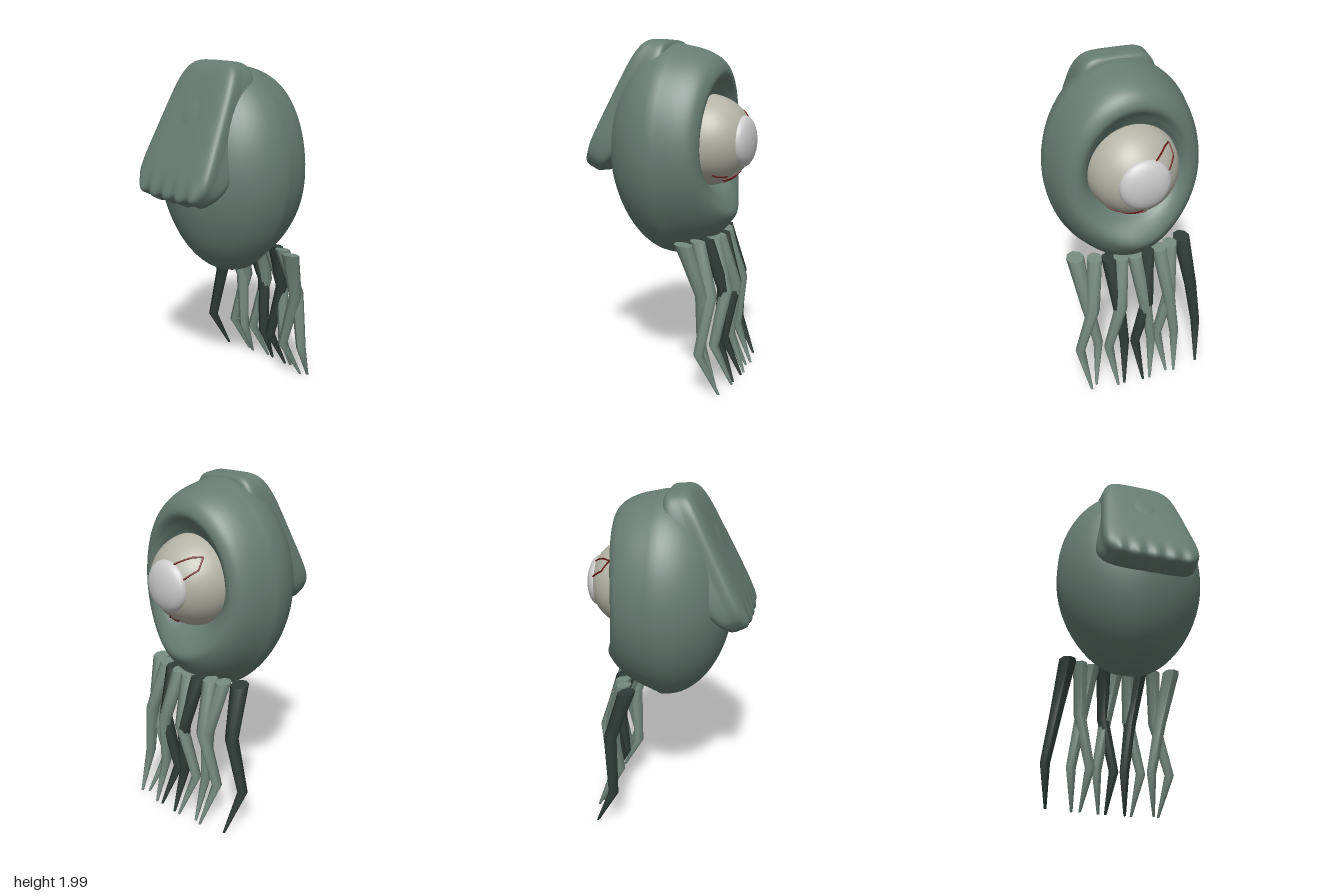
import * as THREE from 'three';

const V = (x, y, z) => new THREE.Vector3(x, y, z);
const mat = (color) => new THREE.MeshStandardMaterial({ color });
const skin = mat(0x667c73), legSkin = mat(0x758a80), darkSkin = mat(0x2f3c38);
const eyeWhite = mat(0xb4b3a6), corneaMat = mat(0xd4d4d6), veinMat = mat(0x6e1414);

function add(group, name, geometry, material) {
  const mesh = new THREE.Mesh(geometry, material);
  mesh.name = name;
  group.add(mesh);
  return mesh;
}

// Skin a stack of closed loops; ring(i) returns `cols` points
function skinLoops(rows, cols, ring) {
  const pos = [], idx = [];
  for (let i = 0; i <= rows; i++) for (const p of ring(i)) pos.push(p.x, p.y, p.z);
  for (let i = 0; i < rows; i++) for (let j = 0; j < cols; j++) {
    const a = i * cols + j, b = i * cols + (j + 1) % cols, c = a + cols, d = b + cols;
    idx.push(a, c, b, b, c, d);
  }
  const g = new THREE.BufferGeometry();
  g.setAttribute('position', new THREE.Float32BufferAttribute(pos, 3));
  g.setIndex(idx);
  g.computeVertexNormals();
  return g;
}

// Evenly spaced point on a square with rounded corners, t from 0 to 1
function squircle(t, power) {
  const u = (t * 4 + 0.5) % 4, side = Math.floor(u), v = (u - side) * 2 - 1;
  const [x, y] = [[1, v], [-v, 1], [-1, -v], [v, -1]][side];
  const k = (Math.abs(x) ** power + Math.abs(y) ** power) ** (-1 / power);
  return [x * k, y * k];
}

// Egg body: half ellipsoid in front, rolled lip and eye socket behind
function bodyGeometry() {
  const cols = 72, front = 20, back = 36;
  const spokes = [];
  for (let j = 0; j < cols; j++) {
    const a = j / cols * Math.PI * 2, s = Math.sin(a), up = Math.max(0, s) ** 2, down = Math.max(0, -s) ** 2;
    const x = 0.455 * Math.cos(a) * (1 - 0.12 * down), y = s * (s > 0 ? 0.6 : 0.63);
    const R = Math.hypot(x, y);
    const lipR = 0.73 - 0.15 * down, lipZ = -0.285 - 0.035 * up - 0.1 * down;
    const lip = lipR * R;
    const curve = new THREE.CatmullRomCurve3([
      V(R, -0.04, 0), V((0.93 - 0.08 * down) * R, 0.64 * lipZ, 0), V((lipR + 0.11) * R, 0.91 * lipZ, 0),
      V(lip, lipZ, 0), V(lip * 0.45 + 0.14, -0.275 - 0.055 * down, 0.03),
      V(0.245, -0.235, 0.05), V(0.1, -0.2, 0.05),
    ]);
    spokes.push({ dx: x / R, dy: y / R, R, curve });
  }
  return skinLoops(front + back, cols, (i) => spokes.map(({ dx, dy, R, curve }) => {
    let p;
    if (i <= front) {
      const t = i / front * Math.PI / 2;
      p = V(R * Math.sin(t), -0.04 + 0.4 * Math.cos(t), 0);
    } else p = curve.getPoint((i - front) / back);
    return V(dx * p.x, 1.37 + dy * p.x + p.z, p.y);
  }));
}

// Thick hanging flap, sunk into the body, with a rippled hem
function flapGeometry() {
  const rows = 56, cols = 128;
  const top = V(0, 1.99, 0.04), end = V(0, 1.245, 0.425);
  const dir = end.clone().sub(top).normalize(), n = V(0, dir.z, -dir.y);
  return skinLoops(rows, cols, (i) => {
    const [c, k] = squircle(i / rows / 2, 5), t = 0.5 - 0.5 * c;
    const hem = THREE.MathUtils.smoothstep(t, 0.8, 1);
    const ring = [];
    for (let j = 0; j < cols; j++) {
      const [sx, sn] = squircle(j / cols, 5);
      const rear = Math.max(0, sn), bulge = Math.sin(Math.PI * t);
      const x = sx * Math.max(0, k) * (0.22 + 0.095 * t) * (1 + 0.12 * rear * bulge);
      const depth = sn > 0 ? 0.08 + 0.1 * bulge : 0.092 - 0.008 * t;
      const thick = -sn * Math.max(0, k) * depth;
      const ripple = hem * 0.01 * Math.cos(x * 58);
      ring.push(top.clone().lerp(end, t).addScaledVector(dir, ripple + thick * 0.4 * (1 - t))
        .addScaledVector(n, thick + ripple * 0.6).setX(x));
    }
    return ring;
  });
}

// Tapered leg bending at two joints
function legGeometry(points, radii) {
  const g = new THREE.CylinderGeometry(1, 1, 3, 8, 3);
  const p = g.attributes.position;
  for (let i = 0; i < p.count; i++) {
    const row = Math.round(1.5 - p.getY(i)), c = points[row], r = radii[row];
    const tilt = row === 0 ? 0.15 : 0;
    p.setXYZ(i, c.x + p.getX(i) * r, c.y + p.getZ(i) * r * tilt, c.z + p.getZ(i) * r);
  }
  g.computeVertexNormals();
  return g;
}

// Thin vein following the eyeball through a few directions
function veinGeometry(dirs, radius) {
  const pts = [];
  dirs.forEach((d, i) => {
    const next = dirs[i + 1];
    for (let k = 0; k < (next ? 5 : 1); k++) {
      const p = V(...d);
      if (next) p.lerp(V(...next), k / 5);
      pts.push(p.setLength(radius));
    }
  });
  return new THREE.TubeGeometry(new THREE.CatmullRomCurve3(pts), pts.length * 3, 0.005, 6);
}

export function createModel() {
  const model = new THREE.Group();
  model.name = 'oneEyedCreature';
  add(model, 'body', bodyGeometry(), skin);
  add(model, 'flap', flapGeometry(), skin);

  // Eye on the back side
  const eye = new THREE.Group();
  eye.name = 'eye';
  eye.position.set(0, 1.42, -0.215);
  model.add(eye);
  const R = 0.264;
  add(eye, 'eyeball', new THREE.SphereGeometry(R, 48, 32), eyeWhite);
  const cornea = add(eye, 'cornea', new THREE.SphereGeometry(0.147, 40, 16, 0, Math.PI * 2, 0, Math.PI / 2), corneaMat);
  cornea.rotation.x = -Math.PI / 2;
  cornea.scale.y = 0.44;
  cornea.position.z = -0.218;
  const veins = [
    [[-0.055, 0.13, -0.225], [-0.14, 0.18, -0.16], [-0.17, 0.17, -0.11], [-0.18, 0.11, -0.155], [-0.13, 0.06, -0.22]],
    [[0, -0.17, -0.2], [0.08, -0.215, -0.12], [-0.03, -0.2, -0.165], [0.05, -0.23, -0.11]],
    [[0.09, -0.19, -0.15], [0.14, -0.19, -0.11], [0.17, -0.18, -0.09]],
  ];
  veins.forEach((d) => add(eye, 'vein', veinGeometry(d, R + 0.001), veinMat));

  // Legs: x at hip, lower joint and foot, then hip radius and whether it is dark
  const legs = [
    [-0.33, -0.425, -0.387, 0.053, true],
    [-0.24, -0.15, -0.175, 0.046, false],
    [-0.16, -0.26, -0.222, 0.046, false],
    [-0.08, 0.005, -0.012, 0.046, true],
    [0, -0.1, -0.055, 0.046, false],
    [0.08, 0.175, 0.15, 0.046, false],
    [0.15, 0.07, 0.108, 0.046, true],
    [0.23, 0.35, 0.315, 0.046, false],
    [0.335, 0.225, 0.277, 0.053, false],
  ];
  legs.forEach(([hip, joint, foot, r, dark]) => {
    const arc = 0.75 * hip * hip;
    const knee = hip + (joint - hip) * 0.35;
    add(model, 'leg', legGeometry([
      V(hip, 0.865, -0.285 + arc), V(knee, 0.57, -0.382 + arc),
      V(joint, 0.24, -0.33 + arc * 0.7), V(foot, 0.005, -0.435 + arc * 0.6),
    ], [r, 0.039, 0.03, 0.008]), dark ? darkSkin : legSkin);
  });
  return model;
}
